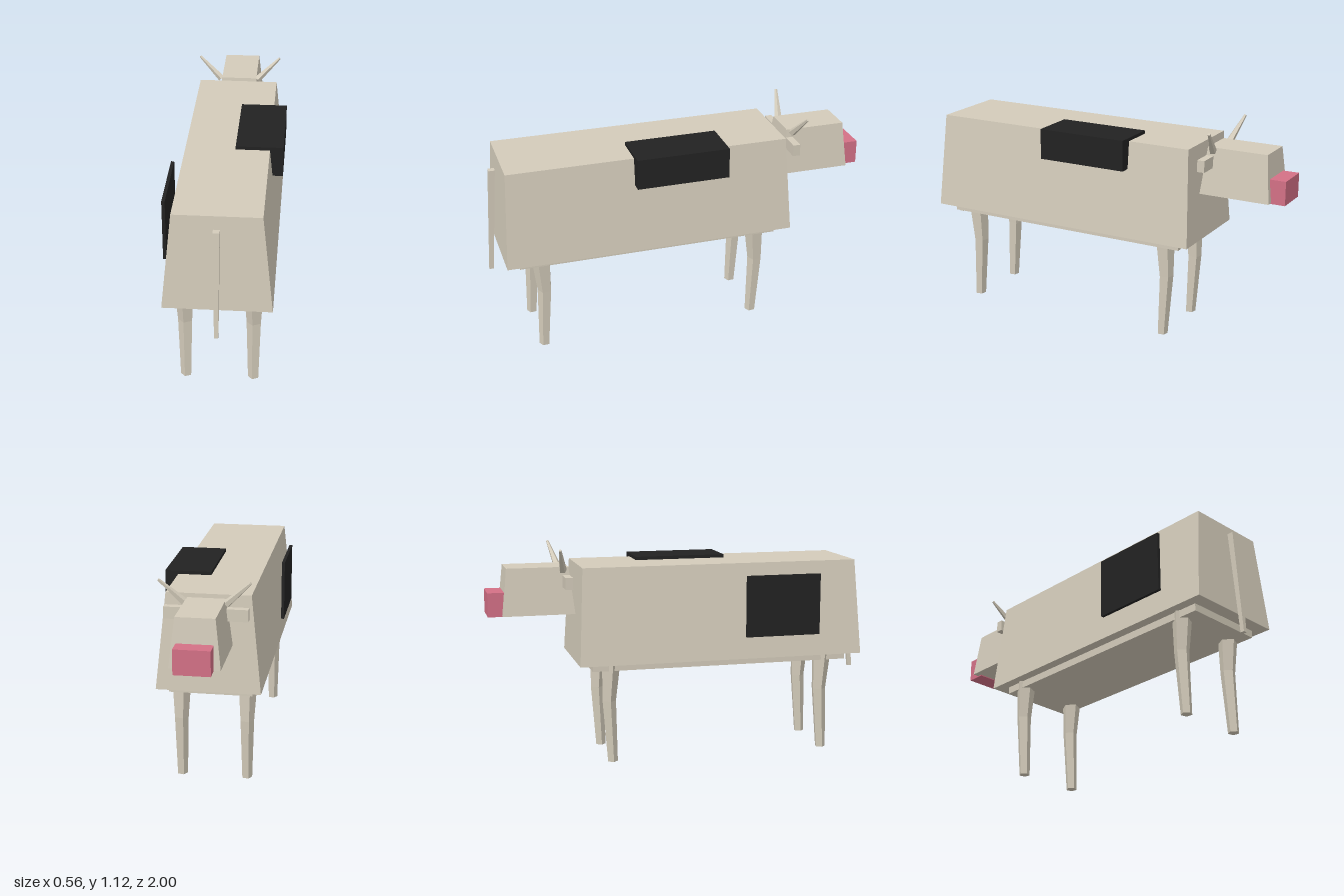
import * as THREE from 'three';

export function createModel() {
  const cow = new THREE.Group();
  cow.name = 'cow';
  const material = (name, color) => {
    const m = new THREE.MeshStandardMaterial({ color });
    m.name = name;
    return m;
  };
  const hide = material('cream hide', 0xd3cbba);
  const black = material('black patch', 0x222222);
  const pink = material('pink muzzle', 0xd37086);

  const add = (name, geometry, mat, parent = cow) => {
    const flat = geometry.index ? geometry.toNonIndexed() : geometry;
    flat.computeVertexNormals();
    const mesh = new THREE.Mesh(flat, mat);
    mesh.name = name;
    parent.add(mesh);
    return mesh;
  };

  // Box whose lower and upper rectangles differ; each rectangle is {y, x: [min, max], z: [min, max]}
  const taperedBox = (lower, upper) => {
    const g = new THREE.BoxGeometry(1, 1, 1);
    const p = g.attributes.position;
    for (let i = 0; i < p.count; i++) {
      const r = p.getY(i) > 0 ? upper : lower;
      p.setXYZ(i, r.x[p.getX(i) > 0 ? 1 : 0], r.y, r.z[p.getZ(i) > 0 ? 1 : 0]);
    }
    return g;
  };
  const box = (x, y, z) => taperedBox({ y: y[0], x, z }, { y: y[1], x, z });

  // Body and belly
  add('body', taperedBox(
    { y: 0.525, x: [-0.262, 0.262], z: [-0.562, 0.945] },
    { y: 1.02, x: [-0.21, 0.21], z: [-0.536, 0.918] }), hide);
  add('belly', box([-0.21, 0.21], [0.487, 0.53], [-0.49, 0.875]), hide);

  // Head and muzzle
  add('head', taperedBox(
    { y: 0.775, x: [-0.122, 0.122], z: [-0.928, -0.56] },
    { y: 1.015, x: [-0.095, 0.095], z: [-0.904, -0.588] }), hide);
  add('muzzle', box([-0.088, 0.088], [0.77, 0.893], [-1, -0.9]), pink);

  // Ears and horns
  for (const side of [1, -1]) {
    const label = side > 0 ? 'left' : 'right';
    const ear = add(label + 'Ear', new THREE.BoxGeometry(0.115, 0.06, 0.038), hide);
    ear.position.set(side * 0.148, 0.943, -0.602);

    const base = new THREE.Vector3(side * 0.1, 0.998, -0.617);
    const tip = new THREE.Vector3(side * 0.221, 1.114, -0.648);
    const direction = tip.clone().sub(base);
    const horn = add(label + 'Horn', new THREE.CylinderGeometry(0.007, 0.02, direction.length(), 5), hide);
    horn.position.copy(base).add(tip).multiplyScalar(0.5);
    horn.quaternion.setFromUnitVectors(new THREE.Vector3(0, 1, 0), direction.normalize());
  }

  // Five-sided legs, bent at the knee: [y, z offset, radius] from hip to foot
  const rings = [[0.53, 0, 0.052], [0.325, -0.011, 0.038], [0, 0.006, 0.028]];
  const legGeometry = () => {
    const g = new THREE.CylinderGeometry(1, 1, 2, 5, 2);
    g.rotateY(-0.2);
    const p = g.attributes.position;
    for (let i = 0; i < p.count; i++) {
      const [y, dz, r] = rings[1 - Math.round(p.getY(i))];
      p.setXYZ(i, p.getX(i) * r, y, p.getZ(i) * r + dz);
    }
    return g;
  };
  for (const [end, z] of [['hind', 0.757], ['front', -0.392]]) {
    for (const [side, x] of [['Left', 0.166], ['Right', -0.171]]) {
      add(end + side + 'Leg', legGeometry(), hide).position.set(x, 0, z);
    }
  }

  // Tail hanging behind the body
  add('tail', taperedBox(
    { y: 0.402, x: [-0.01, 0.01], z: [0.979, 1] },
    { y: 0.96, x: [-0.016, 0.016], z: [0.936, 0.968] }), hide);

  // Patch folded over the back, and a flat patch on the flank
  const patch = new THREE.Group();
  patch.name = 'backPatch';
  cow.add(patch);
  add('backPatchTop', box([0.04, 0.277], [1.01, 1.037], [-0.208, 0.272]), black, patch);
  add('backPatchSide', box([0.2, 0.277], [0.879, 1.037], [-0.208, 0.272]), black, patch);
  add('flankPatch', box([-0.279, -0.263], [0.641, 0.96], [0.307, 0.705]), black);

  return cow;
}
